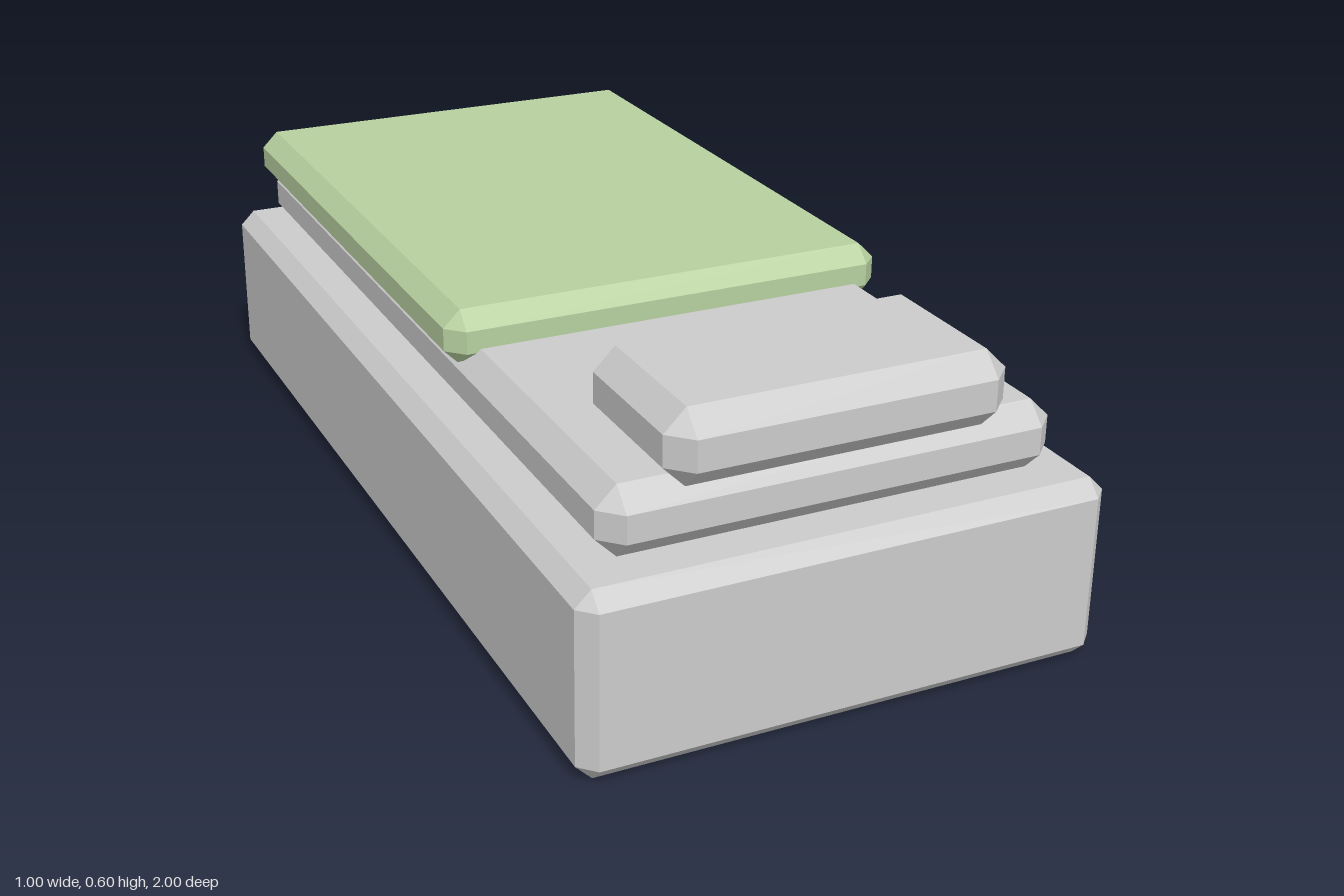
import * as THREE from 'three';
import { ConvexGeometry } from 'three/addons/geometries/ConvexGeometry.js';

// Box with every edge chamfered and a small triangle at each corner
function chamferedBox(w, h, d, bevel) {
  const half = [w / 2, h / 2, d / 2];
  const points = [];
  for (const sx of [-1, 1]) for (const sy of [-1, 1]) for (const sz of [-1, 1]) {
    const sign = [sx, sy, sz];
    for (let axis = 0; axis < 3; axis++) {
      points.push(new THREE.Vector3(
        ...half.map((r, i) => sign[i] * (i === axis ? r : r - bevel))));
    }
  }
  return new ConvexGeometry(points);
}

export function createModel() {
  const group = new THREE.Group();
  group.name = 'bed';
  const grey = new THREE.MeshStandardMaterial({ color: 0xcccccc, flatShading: true });
  const green = new THREE.MeshStandardMaterial({ color: 0xb7d09f, flatShading: true });

  // Each part is given by its width and its extents in y and z
  const addPart = (name, width, [y0, y1], [z0, z1], bevel, material) => {
    const mesh = new THREE.Mesh(chamferedBox(width, y1 - y0, z1 - z0, bevel), material);
    mesh.name = name;
    mesh.position.set(0, (y0 + y1) / 2, (z0 + z1) / 2);
    group.add(mesh);
  };

  addPart('base', 1, [0, 0.35], [-1, 1], 0.03, grey);
  addPart('mattress', 0.86, [0.35, 0.48], [-0.93, 0.93], 0.039, grey);
  addPart('blanket', 0.9, [0.44, 0.55], [-0.95, 0.3], 0.033, green);
  addPart('pillow', 0.64, [0.46, 0.6], [0.6, 0.95], 0.041, grey);

  return group;
}
